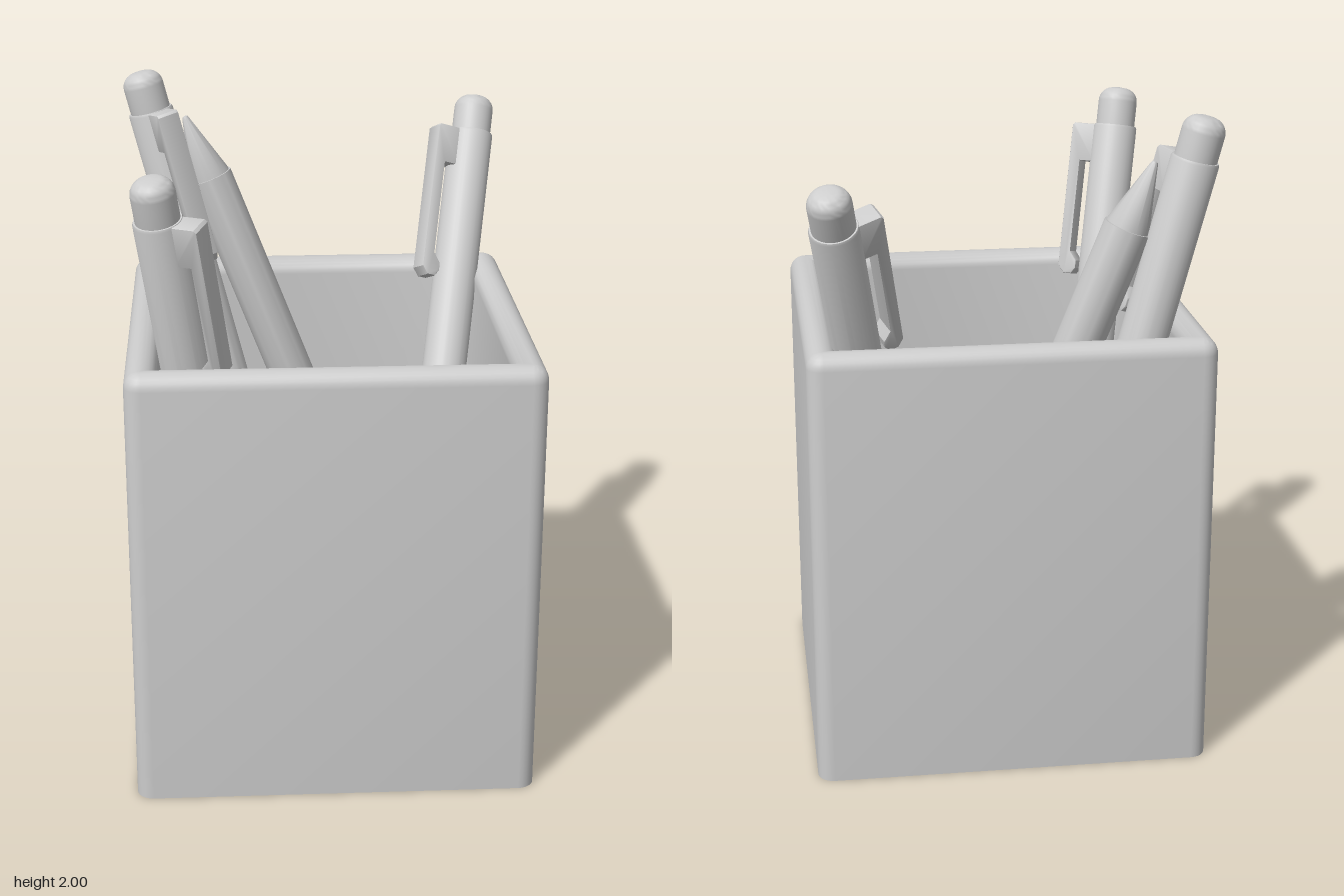
import * as THREE from 'three';
import { toCreasedNormals } from 'three/addons/utils/BufferGeometryUtils.js';

const material = new THREE.MeshStandardMaterial({ color: 0xcccccc });
const PEN_LENGTH = 1.9;

// Rounded square outline at height y, as a ring of points
function squareRing(half, y, radius) {
  const steps = 6, ring = [];
  for (let corner = 0; corner < 4; corner++) {
    const mid = (corner + 0.5) * Math.PI / 2;
    const cx = Math.sign(Math.cos(mid)) * (half - radius);
    const cz = Math.sign(Math.sin(mid)) * (half - radius);
    for (let k = 0; k <= steps; k++) {
      const a = (corner + k / steps) * Math.PI / 2;
      ring.push(new THREE.Vector3(cx + radius * Math.cos(a), y, cz + radius * Math.sin(a)));
    }
  }
  return ring;
}

// Square cup: flat base, straight walls, bullnose rim, hollow inside
function cupGeometry() {
  const half = 0.604, height = 1.355, wall = 0.095, floor = 0.08, corner = 0.05;
  const r = wall / 2;
  const profile = [[0, 0], [half, 0]];
  for (let i = 0; i <= 12; i++) {
    const a = Math.PI * i / 12;
    profile.push([half - r + r * Math.cos(a), height - r + r * Math.sin(a)]);
  }
  profile.push([half - wall, floor], [0, floor]);
  const rings = profile.map(([h, y]) =>
    squareRing(h, y, h === 0 ? 0 : Math.max(corner - (half - h), 0.001)));

  const positions = [];
  const add = (...points) => points.forEach(p => positions.push(p.x, p.y, p.z));
  for (let i = 0; i < rings.length - 1; i++) {
    const lower = rings[i], upper = rings[i + 1], n = lower.length;
    for (let j = 0; j < n; j++) {
      const k = (j + 1) % n;
      if (i > 0) add(lower[j], upper[j], lower[k]);
      if (i < rings.length - 2) add(lower[k], upper[j], upper[k]);
      if (i === 0) add(lower[j], upper[j], upper[k]);
    }
  }
  const geometry = new THREE.BufferGeometry();
  geometry.setAttribute('position', new THREE.Float32BufferAttribute(positions, 3));
  return toCreasedNormals(geometry, 0.6);
}

// Surface of revolution from [radius, y] pairs listed bottom to top
function turned(points) {
  const lathe = new THREE.LatheGeometry(points.map(p => new THREE.Vector2(...p)), 32);
  return toCreasedNormals(lathe, 0.6);
}

// Pen parts share an axis along y, with the push button's top at y = 0
const bodyGeometry = turned([
  [0, -PEN_LENGTH], [0.008, -PEN_LENGTH + 0.003], [0.012, -PEN_LENGTH + 0.012],
  [0.066, -1.695], [0.066, -1.69], [0.072, -1.69],
  [0.072, -0.135], [0.069, -0.128], [0, -0.128],
]);

const buttonProfile = [[0, -0.14], [0.064, -0.14]];
for (let i = 0; i <= 8; i++) {
  const a = Math.PI / 2 * i / 8;
  buttonProfile.push([0.019 + 0.045 * Math.cos(a), -0.048 + 0.045 * Math.sin(a)]);
}
buttonProfile.push([0, 0]);
const buttonGeometry = turned(buttonProfile);

// Clip: root block, free bar and a nub touching the body; x points outwards
const clipShape = new THREE.Shape([
  [0.05, -0.13], [0.13, -0.13], [0.138, -0.138], [0.138, -0.61], [0.118, -0.635],
  [0.09, -0.635], [0.076, -0.615], [0.076, -0.59], [0.1, -0.56], [0.1, -0.255], [0.05, -0.255],
].map(p => new THREE.Vector2(...p)));
const clipWidth = 0.062, bevel = 0.005;
const clipGeometry = toCreasedNormals(new THREE.ExtrudeGeometry(clipShape, {
  depth: clipWidth, bevelEnabled: true, bevelThickness: bevel, bevelSize: bevel,
  bevelOffset: -bevel, bevelSegments: 2,
}).translate(0, 0, -clipWidth / 2), 0.6);

// Pen placed by its button end, its point and the way the clip faces (x, z)
function createPen(name, top, point, clipX, clipZ) {
  const pen = new THREE.Group();
  pen.name = name;
  const parts = { body: bodyGeometry, pushButton: buttonGeometry, pocketClip: clipGeometry };
  for (const [part, geometry] of Object.entries(parts)) {
    const mesh = new THREE.Mesh(geometry, material);
    mesh.name = part;
    pen.add(mesh);
  }
  const start = new THREE.Vector3(...top);
  const up = start.clone().sub(new THREE.Vector3(...point)).normalize();
  const out = new THREE.Vector3(clipX, 0, clipZ);
  out.addScaledVector(up, -out.dot(up)).normalize();
  const side = new THREE.Vector3().crossVectors(out, up);
  pen.quaternion.setFromRotationMatrix(new THREE.Matrix4().makeBasis(out, up, side));
  pen.position.copy(start);
  return pen;
}

export function createModel() {
  const model = new THREE.Group();
  model.name = 'penHolder';

  const cup = new THREE.Mesh(cupGeometry(), material);
  cup.name = 'cup';
  cup.position.set(0.008, 0, 0.078);
  model.add(cup);

  // Three pens stand point down, one stands point up
  model.add(
    createPen('backRightPen', [-0.56, 1.995, -0.408], [-0.09, 0.155, -0.36], 0.45, 0.9),
    createPen('upturnedPen', [0.27, 0.09, -0.285], [-0.42, 1.86, -0.365], -0.4, 0.9),
    createPen('frontRightPen', [-0.503, 1.905, 0.612], [-0.25, 0.06, 0.19], 0.88, 0.47),
    createPen('backLeftPen', [0.545, 1.855, -0.635], [0.27, 0.185, 0.235], -0.9, 0.4),
  );
  return model;
}
